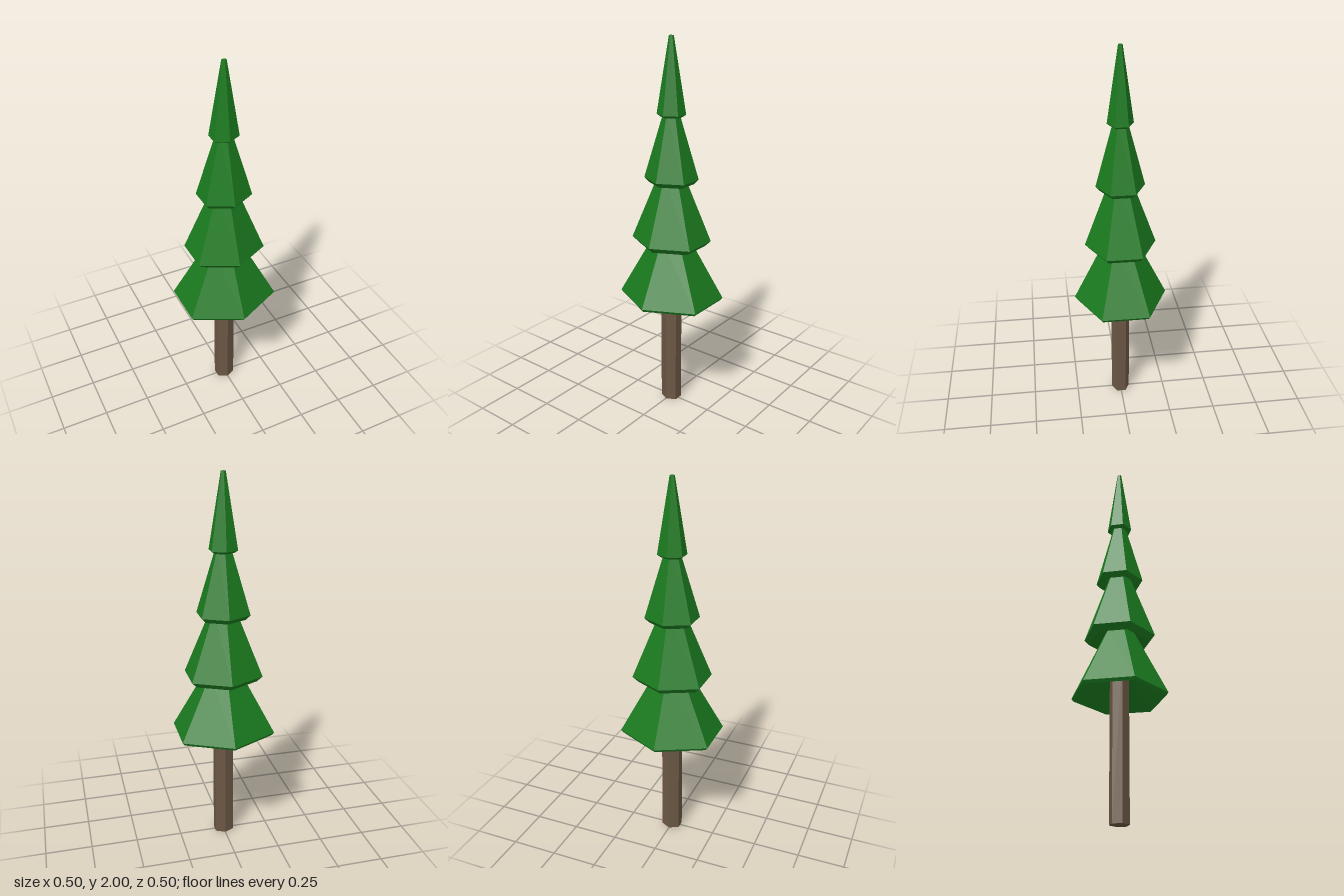
import * as THREE from 'three';

const SIDES = 6;
const STRETCH = 1 / Math.cos(Math.PI / 6); // hexagon is as wide in x as in z

// Each tier as [radius, y]: root under the skirt, lip, widest rim, top
const TIERS = [
  [[0.05, 0.78], [0.24, 0.625], [0.25, 0.64], [0.08, 0.98]],
  [[0.08, 0.98], [0.16, 0.93], [0.188, 0.96], [0.056, 1.32]],
  [[0.056, 1.32], [0.105, 1.265], [0.127, 1.29], [0.033, 1.64]],
  [[0.033, 1.64], [0.05, 1.607], [0.067, 1.62], [0.011, 2]],
];

function createMaterial(color) {
  return new THREE.MeshStandardMaterial({ color, flatShading: true });
}

function addPart(group, name, geometry, material) {
  geometry.scale(STRETCH, 1, 1);
  const mesh = new THREE.Mesh(geometry, material);
  mesh.name = name;
  group.add(mesh);
}

export function createModel() {
  const tree = new THREE.Group();
  tree.name = 'pineTree';
  const bark = createMaterial(0x6b5744);
  const needles = createMaterial(0x1a7a1e);

  // Trunk, running up into the hollow of the lowest tier
  const trunk = new THREE.CylinderGeometry(0.05, 0.05, 0.8, SIDES);
  trunk.translate(0, 0.4, 0);
  addPart(tree, 'trunk', trunk, bark);

  // Foliage skirts, hollow below; the last one is closed at the tip
  TIERS.forEach((profile, i) => {
    const points = profile.map(([r, y]) => new THREE.Vector2(r, y));
    if (i === TIERS.length - 1) points.push(new THREE.Vector2(0, 2));
    addPart(tree, `foliageTier${i + 1}`, new THREE.LatheGeometry(points, SIDES), needles);
  });

  return tree;
}
